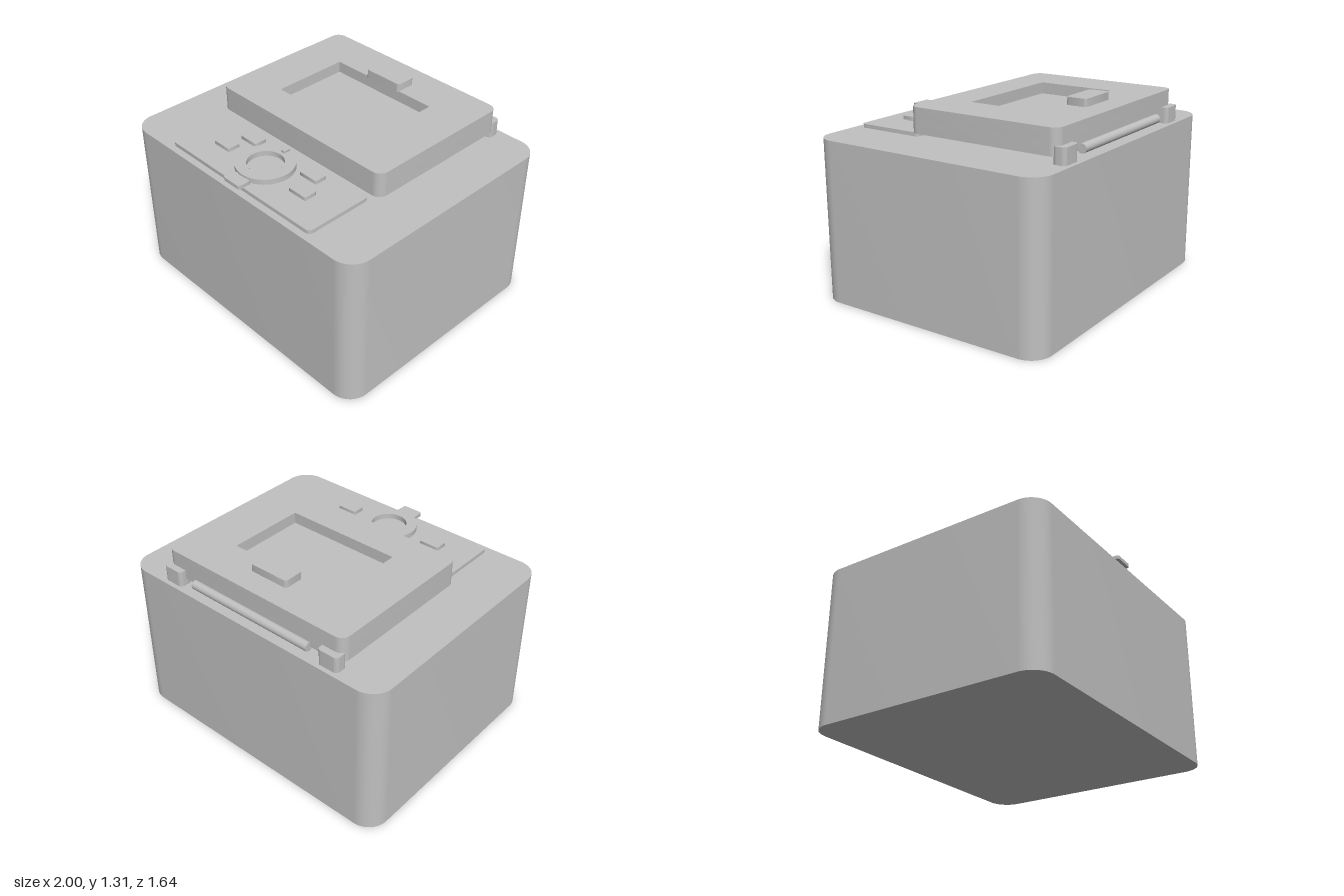
import * as THREE from 'three';
import { toCreasedNormals } from 'three/addons/utils/BufferGeometryUtils.js';

const casing = new THREE.MeshStandardMaterial({ color: 0xc0c0c0 });
casing.name = 'light grey casing';

// Rounded rectangle traced on a Shape or Path
function roundRect(path, x0, x1, y0, y1, r) {
  path.moveTo(x0 + r, y0);
  path.lineTo(x1 - r, y0);
  path.absarc(x1 - r, y0 + r, r, -Math.PI / 2, 0);
  path.lineTo(x1, y1 - r);
  path.absarc(x1 - r, y1 - r, r, 0, Math.PI / 2);
  path.lineTo(x0 + r, y1);
  path.absarc(x0 + r, y1 - r, r, Math.PI / 2, Math.PI);
  path.lineTo(x0, y0 + r);
  path.absarc(x0 + r, y0 + r, r, Math.PI, Math.PI * 1.5);
  return path;
}

// Raise a plan shape (x, -z) from y0 to y1
function raise(shape, y0, y1) {
  const g = new THREE.ExtrudeGeometry(shape, { depth: y1 - y0, bevelEnabled: false, curveSegments: 10 });
  g.rotateX(-Math.PI / 2).translate(0, y0, 0);
  return toCreasedNormals(g, 0.6);
}

export function createModel() {
  const model = new THREE.Group();
  model.name = 'breadMaker';
  const add = (name, geometry) => {
    const mesh = new THREE.Mesh(geometry, casing);
    mesh.name = name;
    model.add(mesh);
    return mesh;
  };
  const slab = (name, x0, x1, z0, z1, y0, y1, r) =>
    add(name, raise(roundRect(new THREE.Shape(), x0, x1, -z1, -z0, r), y0, y1));

  // Main housing
  slab('body', -1, 1, -0.82, 0.82, 0, 1.053, 0.14);

  // Stepped pan cover beneath the lid
  slab('panRim', -0.5, 0.5, -0.57, 0.165, 1.053, 1.065, 0.05);
  slab('panCover', -0.46, 0.46, -0.525, 0.12, 1.065, 1.076, 0.04);

  // Lid: a solid base with a frame around the sunken window
  slab('lidBase', -0.705, 0.705, -0.745, 0.305, 1.096, 1.185, 0.06);
  const frame = roundRect(new THREE.Shape(), -0.705, 0.705, -0.305, 0.745, 0.06);
  const hole = new THREE.Path();
  hole.moveTo(-0.4, -0.07);
  hole.lineTo(-0.4, 0.455);
  hole.lineTo(0.4, 0.455);
  hole.lineTo(0.4, -0.07);
  hole.closePath();
  frame.holes.push(hole);
  add('lidFrame', raise(frame, 1.185, 1.26));
  slab('lidHandle', -0.143, 0.143, -0.59, -0.45, 1.25, 1.31, 0.02);

  // Hinge
  for (const s of [-1, 1]) {
    slab('hingeBracket', s * 0.628 - 0.072, s * 0.628 + 0.072, -0.79, -0.705, 1.05, 1.157, 0.025);
  }
  const rod = add('hingeRod', new THREE.CylinderGeometry(0.03, 0.03, 0.93, 24));
  rod.rotation.z = Math.PI / 2;
  rod.position.set(0, 1.1, -0.755);

  // Control panel
  slab('controlPanel', -0.625, 0.625, 0.31, 0.775, 1.05, 1.078, 0.03);

  // Dial ring with its stepped well and pointer
  const cz = 0.55;
  const ringPoints = [[0.115, 1.09], [0.185, 1.09], [0.185, 1.125], [0.115, 1.125], [0.115, 1.09]]
    .map(([x, y]) => new THREE.Vector2(x, y));
  const ring = toCreasedNormals(new THREE.LatheGeometry(ringPoints, 48), 0.6);
  add('dialRing', ring).position.z = cz;
  add('dialFoot', new THREE.CylinderGeometry(0.15, 0.15, 0.015, 48)).position.set(0, 1.083, cz);
  add('dialCentre', new THREE.CylinderGeometry(0.097, 0.097, 0.01, 48)).position.set(0, 1.093, cz);
  slab('dialPointer', -0.014, 0.014, 0.365, 0.412, 1.12, 1.14, 0.003);

  // Buttons on short stems, mirrored either side of the dial
  for (const s of [-1, 1]) {
    for (const [x, z] of [[0.271, 0.415], [0.345, 0.568]]) {
      slab('button', s * x - 0.07, s * x + 0.07, z - 0.044, z + 0.044, 1.088, 1.112, 0.008);
      slab('buttonStem', s * x - 0.045, s * x + 0.045, z - 0.03, z + 0.03, 1.07, 1.09, 0.008);
    }
  }

  // Front latch
  slab('latch', -0.071, 0.071, 0.73, 0.815, 1.088, 1.112, 0.012);
  slab('latchStem', -0.03, 0.03, 0.745, 0.785, 1.05, 1.09, 0.008);

  return model;
}
